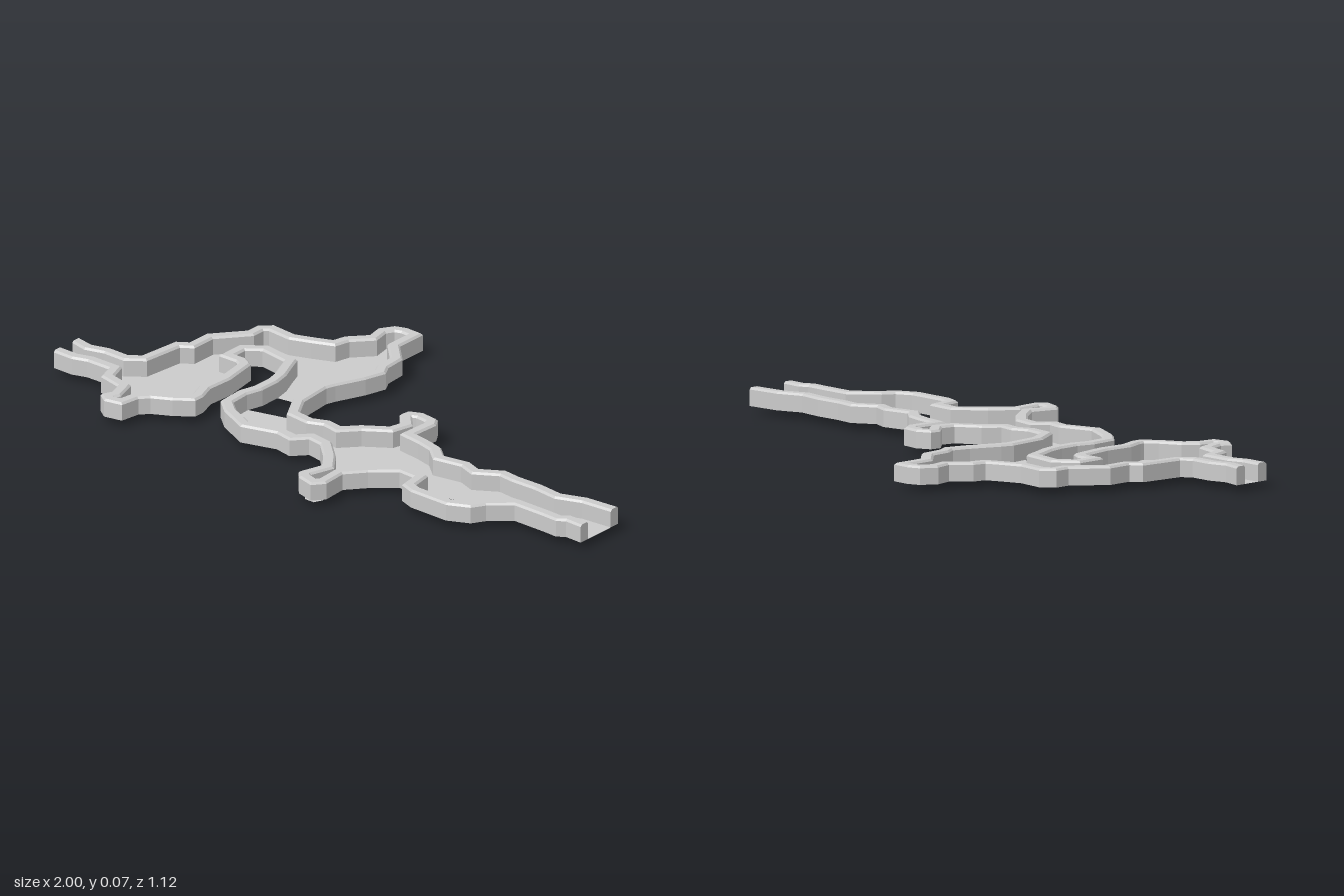
import * as THREE from 'three';

// Outer faces of the two walls as x, z pairs, running from -x to +x
const NORTH = pairs([
  -1, .06, -.94, .08, -.88, .07, -.81, .08, -.78, .06, -.765, -.08, -.73, -.10, -.73, -.18,
  -.65, -.27, -.65, -.32, -.61, -.35, -.52, -.33, -.46, -.345, -.41, -.36, -.40, -.40, -.35, -.45,
  -.36, -.505, -.33, -.55, -.29, -.56, -.23, -.55, -.23, -.44, -.165, -.365, -.16, -.29, -.14, -.25,
  -.16, -.18, -.20, -.09, -.21, -.06, -.20, .06, -.16, .135, -.10, .15, -.05, .135, 0, .15,
  .04, .11, .11, .07, .12, .03, .08, -.02, .085, -.055, .13, -.07, .19, -.055, .21, -.02,
  .205, .07, .26, .085, .325, .11, .37, .155, .46, .15, .51, .175, .58, .14, .64, .155,
  .73, .165, .81, .185, .89, .165, 1, .17,
]);
const SOUTH = pairs([
  -1, .185, -.93, .195, -.88, .185, -.80, .195, -.78, .255, -.70, .285, -.685, .335, -.70, .365,
  -.665, .395, -.605, .39, -.595, .325, -.57, .30, -.51, .275, -.455, .24, -.455, .20, -.475, .14,
  -.47, .05, -.49, -.075, -.525, -.10, -.567, -.105, -.567, -.15, -.525, -.178, -.43, -.15, -.415, -.11,
  -.395, -.06, -.385, -.01, -.385, .055, -.40, .11, -.395, .20, -.34, .255, -.235, .32, -.12, .30,
  -.06, .32, -.02, .28, .03, .295, .09, .36, .13, .42, .105, .50, .13, .53, .19, .555,
  .22, .52, .215, .435, .265, .38, .335, .325, .39, .335, .40, .40, .45, .425, .59, .445,
  .66, .42, .685, .38, .75, .33, .86, .345, .915, .355, .94, .34, 1, .35,
]);

// Wall section: distance inward from the outer face, height
const SECTION = pairs([0, .02, 0, .068, .006, .074, .03, .074, .036, .068, .036, .02]);

function pairs(a) {
  const out = [];
  for (let i = 0; i < a.length; i += 2) out.push(new THREE.Vector2(a[i], a[i + 1]));
  return out;
}

// Shift a path sideways with mitred corners; side 1 is towards +z when heading +x
function offset(path, d, side) {
  const normal = (a, b) => new THREE.Vector2(a.y - b.y, b.x - a.x).normalize().multiplyScalar(side);
  return path.map((p, i) => {
    if (i === 0 || i === path.length - 1) return new THREE.Vector2(p.x, p.y + d * side);
    const n1 = normal(path[i - 1], p), n2 = normal(p, path[i + 1]);
    const m = n1.clone().add(n2).normalize();
    return p.clone().addScaledVector(m, d / Math.max(.75, m.dot(n1)));
  });
}

// Sweep the section along a path and close both ends
function wall(name, path, side, material) {
  const rows = SECTION.map(s => offset(path, s.x, side));
  const n = SECTION.length, pos = [], idx = [];
  const tri = (a, b, c) => (side > 0 ? idx.push(a, b, c) : idx.push(a, c, b));
  path.forEach((_, i) => SECTION.forEach((s, j) => pos.push(rows[j][i].x, s.y, rows[j][i].y)));
  for (let i = 0; i < path.length - 1; i++) {
    for (let j = 0; j < n; j++) {
      const a = i * n + j, b = i * n + (j + 1) % n;
      tri(a, a + n, b);
      tri(b, a + n, b + n);
    }
  }
  const last = (path.length - 1) * n;
  for (let j = 1; j < n - 1; j++) {
    tri(0, j, j + 1);
    tri(last, last + j + 1, last + j);
  }
  const g = new THREE.BufferGeometry();
  g.setAttribute('position', new THREE.Float32BufferAttribute(pos, 3));
  g.setIndex(idx);
  g.computeVertexNormals();
  const mesh = new THREE.Mesh(g, material);
  mesh.name = name;
  return mesh;
}

// Flat floor sheet that dips in the far corner of the south alcove
function floor(name, outline, material) {
  const shape = new THREE.Shape(outline.map(p => new THREE.Vector2(p.x, -p.y)));
  const g = new THREE.ShapeGeometry(shape).rotateX(-Math.PI / 2);
  const p = g.attributes.position;
  for (let i = 0; i < p.count; i++) {
    const dip = THREE.MathUtils.clamp((p.getZ(i) - .40) / .11, 0, 1)
      * THREE.MathUtils.clamp((.25 - p.getX(i)) / .1, 0, 1);
    p.setY(i, .02 * (1 - dip));
  }
  g.computeVertexNormals();
  const mesh = new THREE.Mesh(g, material);
  mesh.name = name;
  return mesh;
}

export function createModel() {
  const group = new THREE.Group();
  group.name = 'caveMap';
  const stone = new THREE.MeshStandardMaterial({
    color: 0xcccccc, flatShading: true, side: THREE.DoubleSide,
  });

  group.add(wall('northWall', NORTH, 1, stone), wall('southWall', SOUTH, -1, stone));

  // Floor outlines run under the middle of the walls
  const n = offset(NORTH, .018, 1), s = offset(SOUTH, .018, -1);

  // West rooms, ending at the break in the passage
  group.add(floor('westFloor', [
    ...n.slice(0, 27), new THREE.Vector2(-.225, -.015),
    ...s.slice(0, 26).reverse(),
  ], stone));

  // East cave and tunnel; the floor stops short of the bulge in the south wall
  group.add(floor('eastFloor', [
    new THREE.Vector2(-.22, .09), ...n.slice(28),
    ...s.slice(50).reverse(), ...pairs([.69, .325, .51, .305, .40, .32]),
    ...s.slice(27, 44).reverse(),
  ], stone));
  return group;
}
